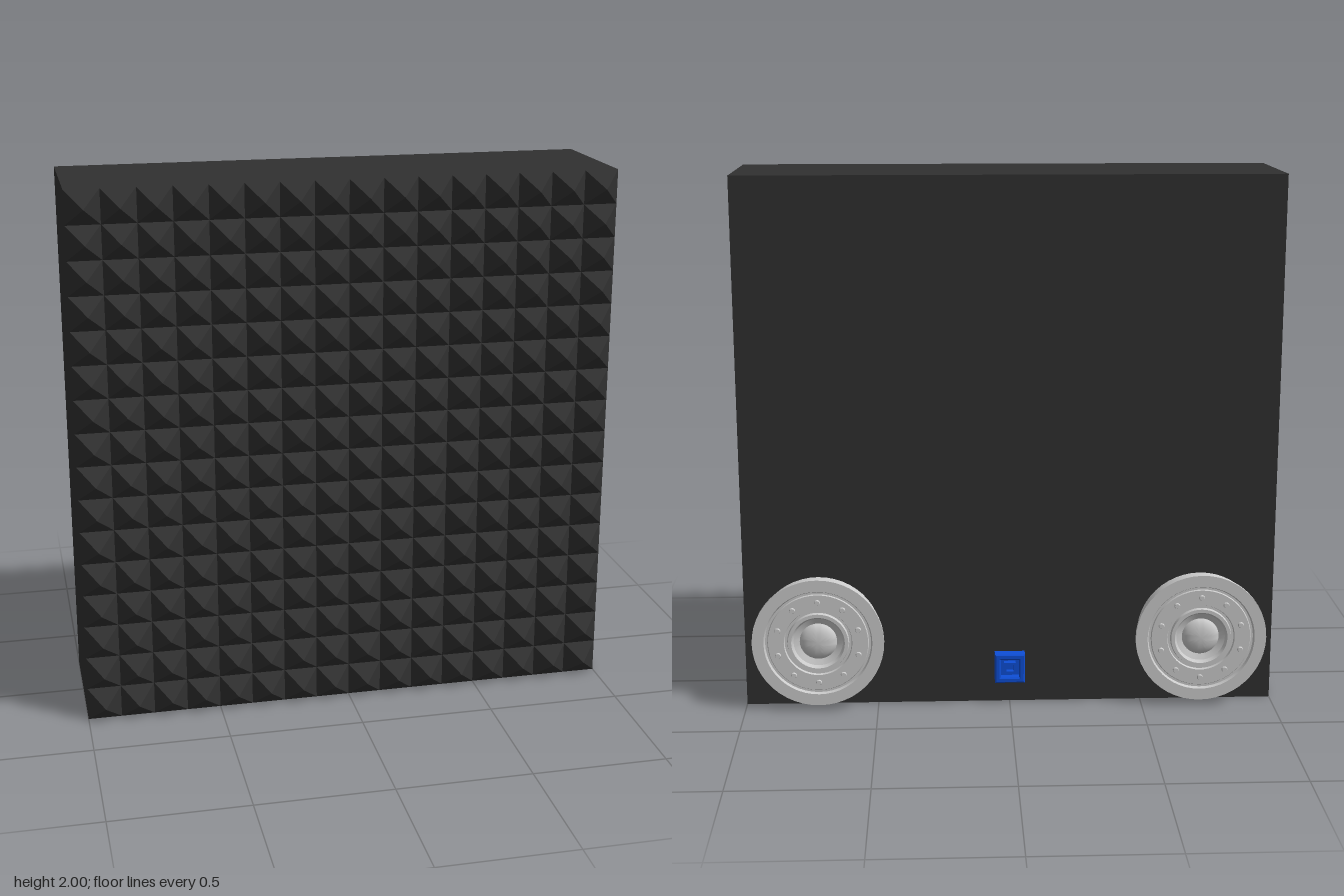
import * as THREE from 'three';
import { mergeGeometries, toCreasedNormals } from 'three/addons/utils/BufferGeometryUtils.js';

const BACK = -0.245, FRONT = 0.255;
const foam = new THREE.MeshStandardMaterial({ color: 0x303030, flatShading: true });
const metal = new THREE.MeshStandardMaterial({ color: 0xcccccc });
const blue = new THREE.MeshStandardMaterial({ color: 0x0e4fd8 });

function add(parent, name, geometry, material, x = 0, y = 0, z = 0) {
  const mesh = new THREE.Mesh(geometry, material);
  mesh.name = name;
  mesh.position.set(x, y, z);
  parent.add(mesh);
  return mesh;
}

// Grid of square pyramids covering the front
function pyramidGrid(n) {
  const s = 2 / n, h = s / 2, parts = [];
  for (let i = 0; i < n; i++) {
    for (let j = 0; j < n; j++) {
      const p = new THREE.ConeGeometry(s * Math.SQRT1_2, h, 4, 1, true, Math.PI / 4);
      p.rotateX(Math.PI / 2);
      p.translate(-1 + (i + 0.5) * s, (j + 0.5) * s, FRONT + h / 2);
      parts.push(p);
    }
  }
  return mergeGeometries(parts);
}

// Round flanged unit with a stepped face, bolts and domed centre; its axis is local y
function roundUnit(name) {
  const unit = new THREE.Group();
  unit.name = name;
  const profile = [
    [0.235, -0.005], [0.235, 0.062], [0.247, 0.062], [0.247, 0.077], [0.203, 0.077],
    [0.198, 0.066], [0.19, 0.066], [0.187, 0.071], [0.128, 0.071], [0.125, 0.062],
    [0.116, 0.062], [0.113, 0.075], [0.1, 0.075], [0.092, 0.062], [0.07, 0.052],
    [0.066, 0.058], [0.055, 0.067], [0.038, 0.073], [0.02, 0.076], [0, 0.077],
  ].map(([r, y]) => new THREE.Vector2(r, y));
  add(unit, 'flangedDisc', toCreasedNormals(new THREE.LatheGeometry(profile, 48), 0.5), metal);
  for (let i = 0; i < 10; i++) {
    const a = (i + 0.5) * Math.PI / 5;
    const bolt = toCreasedNormals(new THREE.CylinderGeometry(0.009, 0.012, 0.008, 12), 0.9);
    add(unit, 'bolt', bolt, metal, 0.158 * Math.cos(a), 0.0735, 0.158 * Math.sin(a));
  }
  unit.rotation.x = -Math.PI / 2;
  return unit;
}

// Square path, used for the socket frame and its hole
function square(half, Type = THREE.Shape) {
  return new Type([[-1, -1], [1, -1], [1, 1], [-1, 1]]
    .map(([x, y]) => new THREE.Vector2(x * half, y * half)));
}

// Socket: bevelled frame, recessed floor and a block inside
function socket() {
  const group = new THREE.Group();
  group.name = 'socket';
  const outline = square(0.052);
  outline.holes.push(square(0.04, THREE.Path));
  const frame = new THREE.ExtrudeGeometry(outline, {
    depth: 0.037, bevelThickness: 0.004, bevelSize: 0.005, bevelSegments: 1,
  });
  add(group, 'socketFrame', frame, blue, 0, 0, 0.004);
  add(group, 'socketFloor', new THREE.BoxGeometry(0.09, 0.09, 0.016), blue, 0, 0, 0.008);
  const inner = square(0.022);
  inner.holes.push(square(0.013, THREE.Path));
  const collar = new THREE.ExtrudeGeometry(inner, { depth: 0.024, bevelEnabled: false });
  add(group, 'socketCollar', collar, blue, 0, 0, 0.015);
  group.rotation.y = Math.PI;
  return group;
}

export function createModel() {
  const model = new THREE.Group();
  model.name = 'panel';

  // Thick panel with pyramid face
  add(model, 'panelBody', new THREE.BoxGeometry(2, 2, FRONT - BACK), foam, 0, 1, (FRONT + BACK) / 2);
  add(model, 'pyramidFace', pyramidGrid(16), foam);

  // Round units at the lower back corners
  for (const [name, side] of [['leftRoundUnit', 1], ['rightRoundUnit', -1]]) {
    const unit = roundUnit(name);
    unit.position.set(side * 0.72, 0.27, BACK);
    model.add(unit);
  }

  // Socket between them
  const port = socket();
  port.position.set(0, 0.145, BACK);
  model.add(port);
  return model;
}
